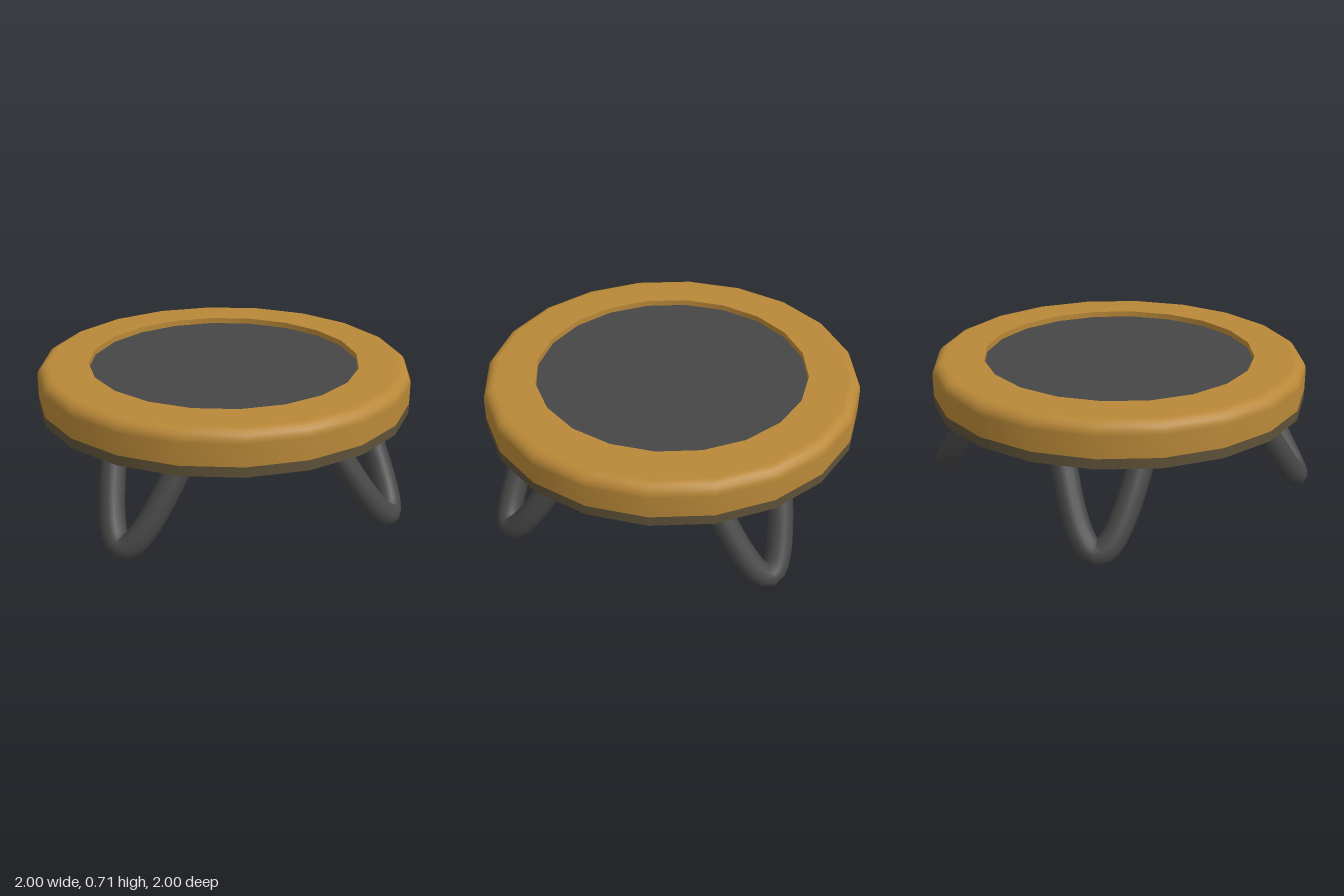
import * as THREE from 'three';

const mat = (name, color) => {
  const m = new THREE.MeshStandardMaterial({ color });
  m.name = name;
  return m;
};

export function createModel() {
  const group = new THREE.Group();
  group.name = 'roundStool';
  const gold = mat('goldPadding', 0xb98838);
  const olive = mat('oliveBase', 0x5e5138);
  const grey = mat('darkGrey', 0x464646);

  const SIDES = 20;
  const R = 0.95, INNER = 0.69, BASE = 0.49, BAND = 0.54, TOP = 0.71, ROUND = 0.06, MAT = 0.68;

  const add = (name, geometry, material, parent = group) => {
    const mesh = new THREE.Mesh(geometry, material);
    mesh.name = name;
    parent.add(mesh);
    return mesh;
  };
  // Each ring is its own profile, so the edges between rings stay sharp
  const ring = (name, profile, material) =>
    add(name, new THREE.LatheGeometry(profile.map(([x, y]) => new THREE.Vector2(x, y)), SIDES), material);

  // Base: underside and lower band
  ring('underside', [[0, BASE], [R, BASE]], olive);
  ring('lowerBand', [[R, BASE], [R, BAND]], olive);

  // Padded rim with a rounded upper edge
  const rim = [[R, BAND], [R, TOP - ROUND]];
  for (let i = 1; i <= 5; i++) {
    const a = (i / 5) * Math.PI / 2;
    rim.push([R - ROUND + ROUND * Math.cos(a), TOP - ROUND + ROUND * Math.sin(a)]);
  }
  rim.push([INNER, TOP]);
  ring('paddedRim', rim, gold);
  ring('rimInnerWall', [[INNER, TOP], [INNER, MAT]], gold);

  // Sunken centre surface
  ring('centreMat', [[INNER, MAT], [0, MAT]], grey);

  // Four splayed U-shaped tube legs
  const tube = 0.062, legTop = 0.52, spread = 0.202, foot = 0.938;
  const dip = 2 * tube - legTop; // control height that puts the foot on the ground
  const slant = (y) => foot - (y - tube) * 0.577;
  const curve = new THREE.QuadraticBezierCurve3(
    new THREE.Vector3(-spread, legTop, slant(legTop)),
    new THREE.Vector3(0, dip, slant(dip)),
    new THREE.Vector3(spread, legTop, slant(legTop))
  );
  const legGeometry = new THREE.TubeGeometry(curve, 32, tube, 14, false);
  ['frontLeg', 'leftLeg', 'backLeg', 'rightLeg'].forEach((name, i) => {
    add(name, legGeometry, grey).rotation.y = i * Math.PI / 2;
  });

  return group;
}
